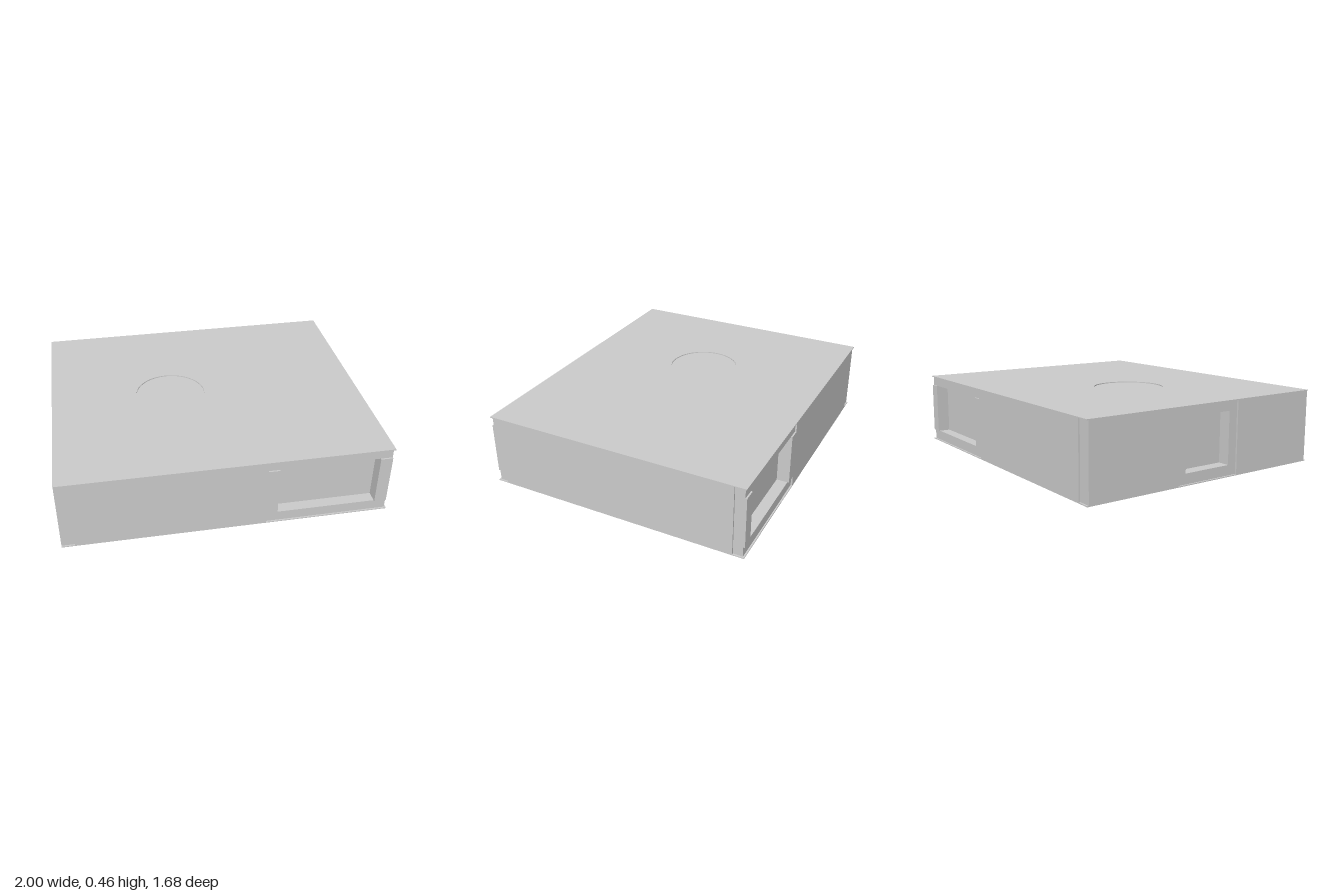
import * as THREE from 'three';

const H = 0.46;      // overall height
const D = 0.84;      // half depth
const T = 0.006;     // cover plate thickness
const LOW = 0.07;    // port opening bottom
const HIGH = 0.395;  // port opening top
const CORE = 0.76;   // half depth of the inner core

export function createModel() {
  const model = new THREE.Group();
  model.name = 'flatEnclosure';
  const material = new THREE.MeshStandardMaterial({ color: 0xcccccc });

  // Box given by its limits along each axis
  const block = (name, [x0, x1], [y0, y1], [z0, z1], parent = model) => {
    const geometry = new THREE.BoxGeometry(x1 - x0, y1 - y0, Math.abs(z1 - z0));
    geometry.translate((x0 + x1) / 2, (y0 + y1) / 2, (z0 + z1) / 2);
    const mesh = new THREE.Mesh(geometry, material);
    mesh.name = name;
    parent.add(mesh);
  };

  const full = [T, H - T];
  const middle = [LOW, HIGH];
  const rails = [[T, LOW], [HIGH, H - T]];

  // Inner core, which also closes the back of every port
  block('core', [-0.915, 0.99], full, [-CORE, CORE]);
  block('leftWall', [0.98, 1], full, [-0.77, 0.77]);
  block('bottomPlate', [-1, 1], [0, T], [-D, D]);

  // Top plate with a shallow round recess
  const outline = new THREE.Shape();
  outline.moveTo(-1, -D).lineTo(1, -D).lineTo(1, D).lineTo(-1, D).closePath();
  const hole = new THREE.Path();
  hole.absarc(-0.23, 0, 0.223, 0, Math.PI * 2, true);
  outline.holes.push(hole);
  const plate = new THREE.ExtrudeGeometry(outline, { depth: T, bevelEnabled: false, curveSegments: 48 });
  plate.rotateX(-Math.PI / 2).translate(0, H - T, 0);
  const topPlate = new THREE.Mesh(plate, material);
  topPlate.name = 'topPlate';
  model.add(topPlate);

  // Front and back: long wall, port frame, and the side wall ending in a set-back corner
  for (const [side, s] of [['front', 1], ['back', -1]]) {
    block(side + 'Wall', [-0.92, 0.23], full, [s * CORE, s * D]);
    block(side + 'RightWall', [-1, -0.91], full, [s * 0.225, s * (D - 0.01)]);

    const frame = new THREE.Group();
    frame.name = side + 'PortFrame';
    model.add(frame);
    for (const y of rails) block('rail', [0.23, 0.99], y, [s * CORE, s * (D - 0.01)], frame);
    for (const x of [[0.23, 0.3], [0.915, 0.99]]) block('stile', x, middle, [s * CORE, s * D], frame);
  }

  // Smaller set-back port in the middle of the right wall
  const sideFrame = new THREE.Group();
  sideFrame.name = 'rightPortFrame';
  model.add(sideFrame);
  for (const y of rails) block('rail', [-0.99, -0.91], y, [-0.225, 0.225], sideFrame);
  for (const s of [-1, 1]) block('stile', [-0.99, -0.91], middle, [s * 0.165, s * 0.225], sideFrame);

  return model;
}
